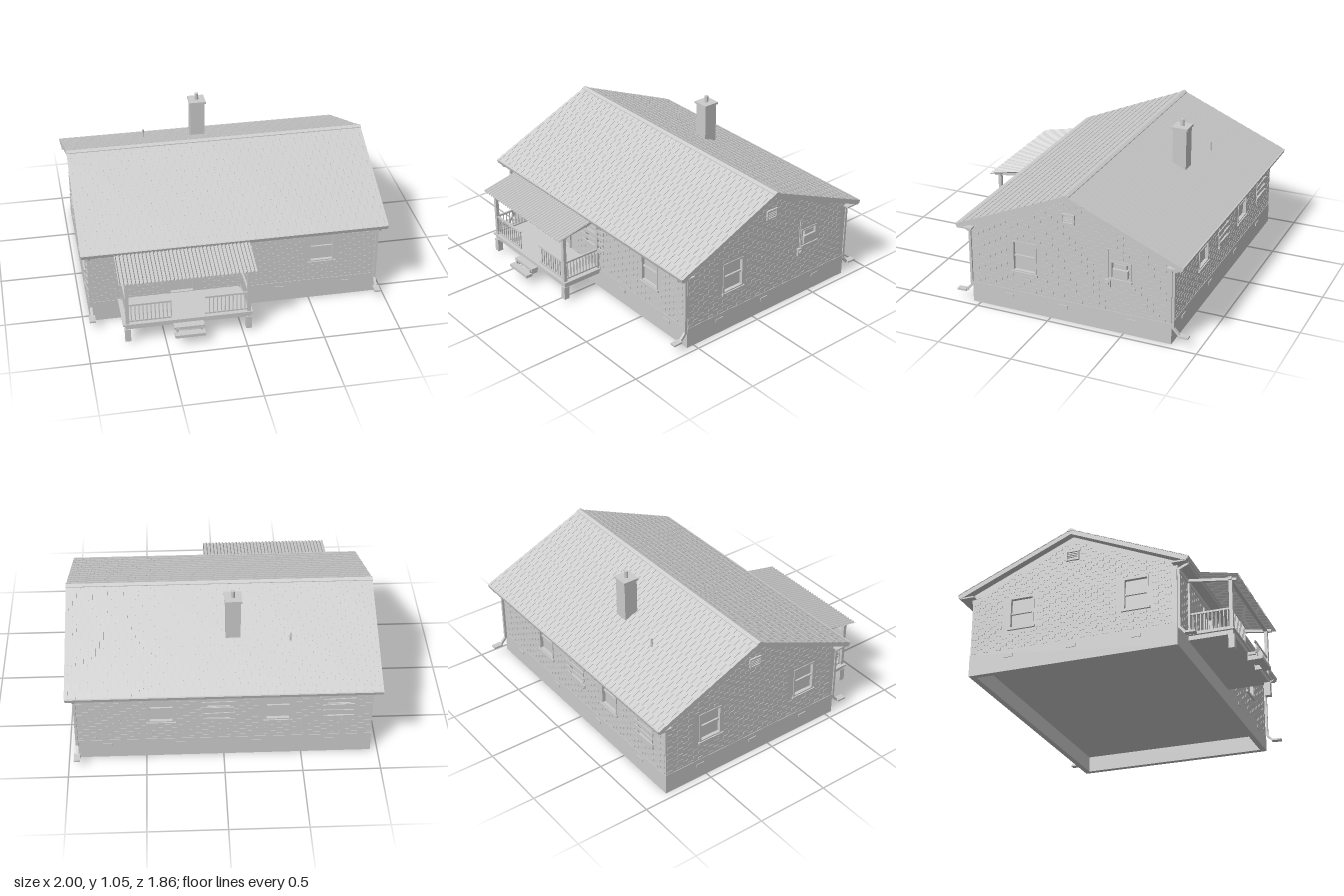
import * as THREE from 'three';
import { mergeGeometries } from 'three/addons/utils/BufferGeometryUtils.js';

const MAT = new THREE.MeshStandardMaterial({ color: 0xcccccc, flatShading: true });
const THIN = new THREE.MeshStandardMaterial({ color: 0xcccccc, flatShading: true, side: THREE.DoubleSide });
const ZC = -0.1325, HX = 0.95, HZ = 0.6825; // house centre in z, half width, half depth
const BASE = 0.14, EAVE = 0.555, RISE = 0.298;

function add(parent, name, geo, mat = MAT) {
  const m = new THREE.Mesh(geo, mat);
  m.name = name;
  parent.add(m);
  return m;
}
function group(parent, name) {
  const g = new THREE.Group();
  g.name = name;
  parent.add(g);
  return g;
}
// box geometry given by its limits
function span(x0, x1, y0, y1, z0, z1) {
  return new THREE.BoxGeometry(x1 - x0, y1 - y0, z1 - z0).translate((x0 + x1) / 2, (y0 + y1) / 2, (z0 + z1) / 2);
}
// square bar between two points
function bar(a, b, w, d = w) {
  const p = new THREE.Vector3(...a), q = new THREE.Vector3(...b);
  const o = new THREE.Object3D();
  o.position.copy(p).lerp(q, 0.5);
  o.up.set(1, 0, 0);
  o.lookAt(q);
  o.updateMatrix();
  return new THREE.BoxGeometry(w, d, p.distanceTo(q) + w * 0.4).applyMatrix4(o.matrix);
}
const poly = pts => new THREE.Shape(pts.map(p => new THREE.Vector2(...p)));
const rect = (x0, x1, y0, y1) => [[x0, y0], [x1, y0], [x1, y1], [x0, y1]];
function extrude(outline, holes, depth) {
  const s = poly(outline);
  s.holes = holes.map(poly);
  return new THREE.ExtrudeGeometry(s, { depth, bevelEnabled: false });
}
// profile in (z, y) swept along x
const sweepX = (pts, len) => extrude(pts, [], len).rotateY(-Math.PI / 2).translate(len / 2, 0, 0);

let seed = 7;
const rnd = () => (seed = (seed * 16807) % 2147483647) / 2147483647;

// window in wall space: wall face is z = 0, outside is +z
function makeWindow(wall, o) {
  const g = group(wall, 'window');
  const { x0, x1, y0, y1 } = o, f = 0.012, ym = (y0 + y1) / 2;
  add(g, 'windowFrame', extrude(rect(x0, x1, y0, y1), [rect(x0 + f, x1 - f, y0 + f, y1 - f)], 0.025).translate(0, 0, -0.02));
  add(g, 'glass', span(x0, x1, y0, y1, -0.024, -0.018));
  add(g, 'sashRail', span(x0 + f, x1 - f, ym - 0.006, ym + 0.006, -0.02, -0.006));
  add(g, 'sill', span(x0 - 0.008, x1 + 0.008, y0 - 0.01, y0 + 0.004, -0.02, 0.013));
  if (o.unit) {
    add(g, 'airUnit', span(x0 + 0.02, x1 - 0.02, y0 + 0.015, ym + 0.01, -0.02, 0.012));
    add(g, 'airGrille', span(x0 + 0.03, x1 - 0.03, ym + 0.015, ym + 0.045, -0.02, 0.004));
  }
  if (o.boards) for (let i = 0; i < 5; i++) {
    const w = o.boards * (0.85 + 0.15 * rnd());
    const b = add(g, 'board', new THREE.BoxGeometry(w, 0.026, 0.007));
    b.position.set((x0 + x1) / 2 + (rnd() - 0.5) * 0.02, y0 + 0.015 + i * (y1 - y0 - 0.03) / 4, 0.009);
    b.rotation.z = (rnd() - 0.5) * 0.08;
  }
}

function makeDoor(wall, { x0, x1, y0, y1 }) {
  const g = group(wall, 'door'), f = 0.015, xm = (x0 + x1) / 2;
  add(g, 'doorFrame', extrude(rect(x0, x1, y0, y1), [rect(x0 + f, x1 - f, y0 + 0.005, y1 - f)], 0.03).translate(0, 0, -0.02));
  add(g, 'doorLeaf', span(x0, x1, y0, y1, -0.026, -0.014));
  for (const s of [-1, 1]) for (const [a, b] of [[0.03, 0.12], [0.14, 0.29]])
    add(g, 'doorPanel', span(xm + s * 0.034 - 0.024, xm + s * 0.034 + 0.024, y0 + a, y0 + b, -0.02, -0.009));
  add(g, 'doorKnob', new THREE.SphereGeometry(0.006, 8, 6)).position.set(x1 - 0.03, y0 + 0.14, -0.006);
}

// one wall with openings, scattered proud bricks and foundation vents
function makeWall(house, name, half, dist, turn, gable, openings, vents) {
  const wall = group(house, name);
  wall.rotation.y = turn;
  wall.position.set(Math.sin(turn) * dist, 0, Math.cos(turn) * dist);
  const outline = [[-half, BASE], [half, BASE], [half, EAVE]];
  if (gable) outline.push([0, EAVE + RISE]);
  outline.push([-half, EAVE]);
  add(wall, name + 'Panel', extrude(outline, openings.map(o => rect(o.x0, o.x1, o.y0, o.y1)), 0.03).translate(0, 0, -0.03));
  const bricks = [];
  for (let r = 0, y = BASE + 0.015; y < EAVE + RISE; r++, y += 0.024)
    for (let x = -half + 0.03 + (r % 2) * 0.04; x < half - 0.03; x += 0.08) {
      const top = gable ? EAVE + RISE * (1 - (Math.abs(x) + 0.03) / half) : EAVE;
      const blocked = openings.some(o => x > o.x0 - 0.03 && x < o.x1 + 0.03 && y > o.y0 - 0.025 && y < o.y1 + 0.015);
      if (y + 0.012 < top && !blocked) bricks.push(span(x - 0.02, x + 0.02, y - 0.008, y + 0.008, -0.005, 0.0025));
    }
  add(wall, 'proudBricks', mergeGeometries(bricks));
  openings.forEach(o => (o.door ? makeDoor : makeWindow)(wall, o));
  for (const x of vents) add(wall, 'foundationVent', span(x - 0.03, x + 0.03, 0.09, 0.112, -0.01, 0.008));
  if (gable) {
    add(wall, 'gableVentFrame', extrude(rect(-0.043, 0.043, 0.685, 0.75), [rect(-0.035, 0.035, 0.693, 0.742)], 0.014));
    for (let i = 0; i < 4; i++) add(wall, 'louver', span(-0.036, 0.036, 0.696 + i * 0.012, 0.703 + i * 0.012, 0, 0.009));
  }
}

function makeRoof(house) {
  const roof = group(house, 'roof');
  add(roof, 'roofSlab', sweepX([[0, 0.882], [-0.765, 0.555], [-0.755, 0.527], [0, 0.853], [0.755, 0.527], [0.765, 0.555]], 1.99));
  const angle = Math.atan2(0.327, 0.765), len = Math.hypot(0.327, 0.765), rows = 14, step = len / rows;
  for (const back of [0, 1]) {
    const side = group(roof, back ? 'backSlope' : 'frontSlope');
    side.rotation.y = back * Math.PI;
    const tabs = [];
    for (let r = 0; r < rows; r++) for (let i = 0; i <= 40; i++) {
      const a = Math.max(-1, -1 + i * 0.05 - (r % 2) * 0.025), b = Math.min(1, -1 + (i + 1) * 0.05 - (r % 2) * 0.025);
      if (b - a > 0.01) tabs.push(new THREE.BoxGeometry(b - a - 0.003, 0.004, step).rotateX(0.05)
        .translate((a + b) / 2, 0.002, (r + 0.5) * step));
    }
    const m = add(side, 'shingles', mergeGeometries(tabs));
    m.position.y = 0.882;
    m.rotation.x = angle;
    add(side, 'gutter', sweepX([[0.742, 0.535], [0.765, 0.535], [0.772, 0.558], [0.755, 0.56]], 1.99));
    add(side, 'soffit', span(-0.99, 0.99, 0.528, 0.538, HZ - 0.02, 0.75));
    add(side, 'friezeBoard', span(-HX, HX, 0.503, 0.535, HZ - 0.01, HZ + 0.006));
  }
  add(roof, 'ridgeCap', sweepX([[0, 0.892], [-0.022, 0.882], [-0.022, 0.874], [0.022, 0.874], [0.022, 0.882]], 2));
}

function makePorch(root) {
  const porch = group(root, 'porch'), L = -0.74, R = 0.04, F = 0.825;
  add(porch, 'deckFrame', span(-0.755, 0.055, 0.11, 0.14, 0.55, 0.835));
  add(porch, 'deckBoards', span(-0.77, 0.065, 0.138, 0.15, 0.55, 0.845));
  add(porch, 'beam', span(-0.76, 0.06, 0.475, 0.495, F - 0.012, F + 0.012));
  for (const x of [L, R]) {
    add(porch, 'pier', span(x - 0.018, x + 0.018, 0.02, 0.11, F - 0.02, F + 0.018));
    add(porch, 'post', span(x - 0.011, x + 0.011, 0.15, 0.48, F - 0.011, F + 0.011));
    add(porch, 'wallPost', span(x - 0.011, x + 0.011, 0.15, 0.5, 0.55, 0.565));
    add(porch, 'sideRafter', bar([x, 0.52, 0.56], [x, 0.478, 0.86], 0.018));
  }
  // railing runs: front left, front right and both sides
  const runs = [[L, F, -0.46, F], [-0.24, F, R, F], [L, 0.555, L, F], [R, 0.555, R, F]];
  for (const [x0, z0, x1, z1] of runs) {
    const rail = group(porch, 'railing');
    add(rail, 'topRail', bar([x0, 0.288, z0], [x1, 0.288, z1], 0.012));
    add(rail, 'bottomRail', bar([x0, 0.165, z0], [x1, 0.165, z1], 0.01));
    const n = 11, parts = [];
    for (let i = 1; i <= n; i++) {
      const t = i / n, x = x0 + (x1 - x0) * t, z = z0 + (z1 - z0) * t;
      parts.push(span(x - 0.003, x + 0.003, 0.165, 0.288, z - 0.003, z + 0.003));
    }
    add(rail, 'balusters', mergeGeometries(parts));
  }
  // corrugated sheet roof
  const sheet = new THREE.PlaneGeometry(0.87, 0.305, 144, 1).rotateX(-Math.PI / 2), p = sheet.attributes.position;
  for (let i = 0; i < p.count; i++) p.setY(i, 0.006 * Math.sin((i % 145) * Math.PI / 2 + Math.PI / 4));
  const m = add(porch, 'corrugatedRoof', sheet, THIN);
  m.rotation.x = 0.21;
  m.position.set(-0.355, 0.519, 0.737);
  add(porch, 'upperStep', span(-0.45, -0.255, 0.1, 0.118, 0.835, 0.885));
  add(porch, 'lowerStep', span(-0.45, -0.255, 0.065, 0.085, 0.88, 0.928));
  for (const x of [-0.43, -0.275]) add(porch, 'stepStringer', span(x - 0.007, x + 0.007, 0.07, 0.11, 0.83, 0.89));
}

export function createModel() {
  const root = new THREE.Group();
  root.name = 'house';
  const house = group(root, 'mainHouse');
  house.position.z = ZC;

  // hollow foundation ring with a recessed floor
  const ring = (x, z) => rect(-x, x, -z, z);
  add(house, 'foundation', extrude(ring(HX + 0.003, HZ + 0.003), [ring(HX - 0.035, HZ - 0.035)], BASE + 0.002).rotateX(-Math.PI / 2));
  add(house, 'floor', span(-HX + 0.02, HX - 0.02, 0.11, 0.125, -HZ + 0.02, HZ - 0.02));

  const win = (c, extra = {}) => ({ x0: c - 0.085, x1: c + 0.085, y0: 0.28, y1: 0.495, ...extra });
  makeWall(house, 'frontWall', HX, HZ, 0, false,
    [{ x0: -0.44, x1: -0.26, y0: 0.155, y1: 0.48, door: true }, win(-0.015, { boards: 0.27 }), win(0.58)], [0.3, 0.75]);
  makeWall(house, 'backWall', HX, HZ, Math.PI, false,
    [win(-0.4), win(-0.035, { boards: 0.22 }), win(0.345), win(0.735, { boards: 0.22 })], [-0.75, -0.28, 0.21, 0.68]);
  makeWall(house, 'leftGable', HZ, HX, Math.PI / 2, true,
    [win(-0.31), { x0: 0.278, x1: 0.418, y0: 0.37, y1: 0.492, unit: true }], [-0.42, -0.04, 0.42]);
  makeWall(house, 'rightGable', HZ, HX, -Math.PI / 2, true, [win(-0.34), win(0.42)], [-0.42, 0, 0.42]);
  makeRoof(house);

  // downspouts at three corners
  for (const [x, s] of [[-0.945, 1], [0.945, 1], [0.945, -1]]) {
    const pipe = group(house, 'downspout');
    const path = [[0.755, 0.54], [0.75, 0.525], [0.695, 0.5], [0.695, 0.115], [0.735, 0.07], [0.795, 0.068]];
    for (let i = 1; i < path.length; i++) {
      const [a, b] = [path[i - 1], path[i]];
      add(pipe, 'pipeSection', bar([x, a[1], a[0] * s], [x, b[1], b[0] * s], i === 5 ? 0.012 : 0.016, i === 5 ? 0.04 : 0.016));
    }
  }

  // chimney and vent pipe
  const chimney = group(root, 'chimney');
  add(chimney, 'stack', span(-0.118, -0.022, 0.68, 1.0, -0.522, -0.428));
  add(chimney, 'cap', span(-0.126, -0.014, 0.995, 1.01, -0.531, -0.419));
  add(chimney, 'flue', new THREE.CylinderGeometry(0.013, 0.013, 0.05, 12)).position.set(-0.07, 1.03, -0.475);
  add(root, 'ventPipe', new THREE.CylinderGeometry(0.006, 0.006, 0.09, 8)).position.set(-0.435, 0.725, -0.545);

  // electric meter with conduit on the left gable
  const meter = group(root, 'meter');
  add(meter, 'meterBox', span(0.945, 0.966, 0.31, 0.362, -0.415, -0.378));
  add(meter, 'meterDial', new THREE.CylinderGeometry(0.012, 0.012, 0.012, 12).rotateZ(Math.PI / 2)).position.set(0.97, 0.338, -0.397);
  add(meter, 'conduit', span(0.95, 0.957, 0.36, 0.57, -0.403, -0.396));

  makePorch(root);
  return root;
}
